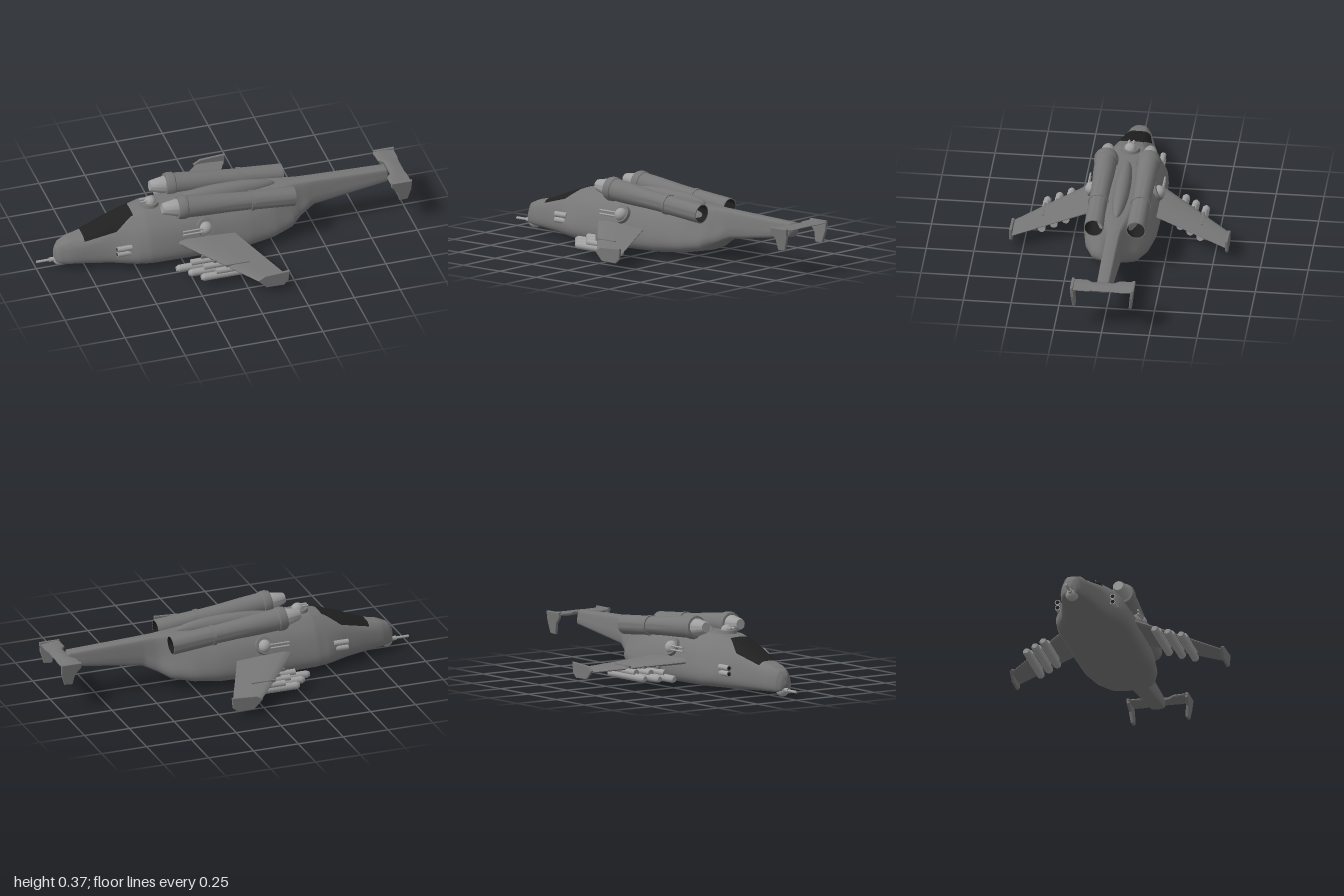
import * as THREE from 'three';
import { mergeVertices, toCreasedNormals } from 'three/addons/utils/BufferGeometryUtils.js';

const paint = (c) => new THREE.MeshStandardMaterial({ color: c });
const hullMat = paint(0x777777), metal = paint(0xa0a0a0), dark = paint(0x202020);

// Stations along the hull: x, max half-width, bottom, height of max width,
// shoulder half-width, shoulder height, roof half-width, roof height
const stations = [
  [-0.91, 0, 0.08, 0.08, 0, 0.08, 0, 0.08],
  [-0.90, 0.03, 0.038, 0.07, 0.025, 0.095, 0.015, 0.118],
  [-0.88, 0.05, 0.031, 0.075, 0.042, 0.115, 0.028, 0.145],
  [-0.83, 0.072, 0.028, 0.08, 0.06, 0.13, 0.038, 0.167],
  [-0.74, 0.092, 0.024, 0.085, 0.077, 0.15, 0.045, 0.184],
  [-0.62, 0.125, 0.018, 0.09, 0.1, 0.175, 0.06, 0.232],
  [-0.5, 0.182, 0.014, 0.1, 0.13, 0.2, 0.065, 0.275],
  [-0.42, 0.195, 0.01, 0.1, 0.15, 0.21, 0.08, 0.29],
  [-0.15, 0.195, 0.004, 0.1, 0.16, 0.21, 0.09, 0.292],
  [0.1, 0.19, 0.012, 0.1, 0.15, 0.2, 0.08, 0.287],
  [0.25, 0.165, 0.028, 0.1, 0.125, 0.19, 0.07, 0.285],
  [0.36, 0.125, 0.05, 0.11, 0.09, 0.18, 0.05, 0.283],
  [0.42, 0.08, 0.085, 0.13, 0.065, 0.18, 0.04, 0.28],
  [0.5, 0.05, 0.125, 0.17, 0.048, 0.2, 0.035, 0.277],
  [0.9, 0.04, 0.185, 0.21, 0.036, 0.235, 0.03, 0.262],
  [0.92, 0, 0.225, 0.225, 0, 0.225, 0, 0.225],
];

// Point on the hull at x; t runs 0 (keel) -> 1 (roof, +z side) -> 2 (keel)
function hullPoint(x, t) {
  let i = 0;
  while (i < stations.length - 2 && x > stations[i + 1][0]) i++;
  const a = stations[i], b = stations[i + 1];
  const f = THREE.MathUtils.clamp((x - a[0]) / (b[0] - a[0]), 0, 1);
  const [, w, yb, yl, ws, ys, wt, yt] = a.map((v, k) => v + (b[k] - v) * f);
  const low = yl - yb;
  const section = new THREE.SplineCurve([
    [0, yb], [w * 0.55, yb + low * 0.09], [w * 0.92, yb + low * 0.32], [w, yl],
    [ws, ys], [wt, yt - (yt - ys) * 0.15], [wt * 0.5, yt - (yt - ys) * 0.02], [0, yt],
  ].map(p => new THREE.Vector2(...p)));
  const p = section.getPoint(t <= 1 ? t : 2 - t);
  return new THREE.Vector3(x, p.y, t <= 1 ? p.x : -p.x);
}

// Skin over rows of points, smooth across shared corners
function skin(rows, crease) {
  const n = rows[0].length, index = [];
  for (let i = 0; i < rows.length - 1; i++) {
    for (let j = 0; j < n - 1; j++) {
      const a = i * n + j, b = a + n;
      index.push(a, b, a + 1, b, b + 1, a + 1);
    }
  }
  let g = new THREE.BufferGeometry().setFromPoints(rows.flat());
  g.setIndex(index);
  g = mergeVertices(g, 1e-5);
  if (crease) return toCreasedNormals(g, crease);
  g.computeVertexNormals();
  return g;
}

function add(parent, name, geometry, material, x = 0, y = 0, z = 0) {
  const m = new THREE.Mesh(geometry, material);
  m.name = name;
  m.position.set(x, y, z);
  parent.add(m);
  return m;
}

// Round bar lying along x
function rod(parent, name, mat, x0, x1, y, z, r0, r1 = r0) {
  const g = new THREE.CylinderGeometry(r1, r0, x1 - x0, 20).rotateZ(-Math.PI / 2);
  return add(parent, name, g, mat, (x0 + x1) / 2, y, z);
}

// Turned part along x from [x, radius] pairs
function turned(points) {
  const g = new THREE.LatheGeometry(points.map(([x, r]) => new THREE.Vector2(r, x)), 32);
  return toCreasedNormals(g.rotateZ(-Math.PI / 2), 0.5);
}

// Flat plate drawn in the x-y plane
function plate(points, depth) {
  const shape = new THREE.Shape(points.map(p => new THREE.Vector2(...p)));
  return new THREE.ExtrudeGeometry(shape, { depth, bevelEnabled: true, bevelSize: 0.003, bevelThickness: 0.003, bevelSegments: 2 })
    .translate(0, 0, -depth / 2);
}

// Aerofoil outline, leading edge over the top and back underneath
function foil(x0, x1, thick, y, z) {
  const outline = [[0, 0], [0.03, 0.6], [0.15, 1], [0.5, 0.85], [1, 0.15], [1, -0.15], [0.5, -0.85], [0.15, -1], [0.03, -0.6], [0, 0]];
  return outline.map(([u, v]) => new THREE.Vector3(x0 + (x1 - x0) * u, y + v * thick / 2, z));
}

function buildEngine() {
  const engine = new THREE.Group();
  engine.name = 'engine';
  add(engine, 'engineCasing', turned([
    [-0.27, 0.044], [-0.268, 0.058], [-0.25, 0.064], [-0.225, 0.063], [-0.22, 0.058],
    [-0.12, 0.056], [0.02, 0.05], [0.13, 0.048], [0.13, 0.054], [0.148, 0.054], [0.148, 0.05],
    [0.37, 0.051], [0.37, 0.046],
  ]), hullMat);
  add(engine, 'exhaustDuct', turned([[0.37, 0.046], [0.16, 0.042], [0.16, 0]]), dark);
  add(engine, 'intakeCone', turned([[-0.35, 0], [-0.35, 0.026], [-0.34, 0.031], [-0.275, 0.046], [-0.25, 0.046]]), metal);
  engine.position.set(0, 0.289, 0.111);
  engine.rotation.z = -0.09;
  return engine;
}

function buildSide() {
  const side = new THREE.Group();
  side.add(buildEngine());

  // Wing and its tip plate
  add(side, 'wing', skin([
    foil(-0.31, 0.02, 0.034, 0.143, 0.15),
    foil(-0.27, 0.035, 0.032, 0.135, 0.2),
    foil(0.04, 0.2, 0.016, 0.077, 0.565),
  ], 0.7), hullMat);
  add(side, 'wingTipPlate', plate([[0.035, 0.085], [0.07, 0.105], [0.2, 0.113], [0.195, 0.06], [0.17, 0.038], [0.08, 0.04]], 0.008), hullMat, 0, 0, 0.565);

  // Missiles under the wing
  [[-0.33, 0.3], [-0.28, 0.357], [-0.23, 0.415]].forEach(([x, z]) => {
    rod(side, 'missile', metal, x + 0.015, x + 0.31, 0.061, z, 0.02);
    rod(side, 'missileNose', metal, x, x + 0.015, 0.061, z, 0.013, 0.02);
    rod(side, 'launchRail', metal, x + 0.08, x + 0.29, 0.085, z, 0.017);
    add(side, 'pylon', new THREE.BoxGeometry(0.13, 0.03, 0.012), hullMat, x + 0.2, 0.1, z);
  });

  // Twin tubes on the cheek
  for (const y of [0.108, 0.138]) {
    rod(side, 'cheekTube', metal, -0.605, -0.525, y, 0.148, 0.015);
    rod(side, 'cheekTubeBore', dark, -0.606, -0.6, y, 0.148, 0.01);
  }

  // Ball turret on the flank
  const mount = add(side, 'flankTurretRing', new THREE.CylinderGeometry(0.046, 0.05, 0.03, 28), hullMat, -0.13, 0.198, 0.165);
  mount.rotation.x = 1.1;
  add(side, 'flankTurret', new THREE.SphereGeometry(0.035, 24, 16), metal, -0.13, 0.198, 0.175);
  for (const y of [0.19, 0.21]) rod(side, 'flankGun', metal, -0.26, -0.13, y, 0.195, 0.005);

  // Tailplane half with drooping end plate
  add(side, 'tailplane', skin([
    foil(0.91, 0.99, 0.024, 0.248, 0),
    foil(0.91, 0.99, 0.022, 0.248, 0.055),
    foil(0.885, 0.995, 0.02, 0.248, 0.085),
    foil(0.885, 0.995, 0.018, 0.25, 0.16),
  ], 0.7), hullMat);
  const fin = add(side, 'tailEndPlate', plate([[0.89, 0.258], [0.995, 0.258], [0.993, 0.21], [0.975, 0.148], [0.935, 0.145], [0.922, 0.2], [0.89, 0.235]].map(([x, y]) => [x, y - 0.25]), 0.01), hullMat, 0, 0.25, 0.158);
  fin.rotation.x = 0.1;
  return side;
}

export function createModel() {
  const model = new THREE.Group();
  model.name = 'gunship';

  // Hull and tail boom
  const rows = [];
  for (let i = 0; i < stations.length - 1; i++) {
    const a = stations[i][0], b = stations[i + 1][0];
    for (let k = 0; k < 4; k++) rows.push(a + (b - a) * k / 4);
  }
  rows.push(0.92);
  add(model, 'hull', skin(rows.map(x => Array.from({ length: 57 }, (_, j) => hullPoint(x, j / 28)))), hullMat);

  // Wrap-around canopy glass, lying just above the hull skin
  const glass = [];
  for (let i = 0; i <= 24; i++) {
    const x = -0.755 + 0.265 * i / 24;
    const t0 = 0.63 + 0.12 * Math.max(0, (i - 15) / 9);
    glass.push(Array.from({ length: 25 }, (_, j) => {
      const p = hullPoint(x, t0 + (2 - 2 * t0) * j / 24);
      return p.add(new THREE.Vector3(-0.001, 0.003, Math.sign(p.z) * 0.0015));
    }));
  }
  add(model, 'canopy', skin(glass), dark).material.side = THREE.DoubleSide;

  // Raised spine between the engines
  const spine = add(model, 'spine', new THREE.SphereGeometry(1, 40, 20), hullMat, 0.015, 0.282, 0);
  spine.scale.set(0.285, 0.05, 0.043);

  // Nose gun
  add(model, 'noseTurret', new THREE.SphereGeometry(0.034, 24, 16), metal, -0.875, 0.043, 0);
  rod(model, 'noseGunSleeve', metal, -0.93, -0.88, 0.046, 0, 0.012);
  rod(model, 'noseGun', metal, -1, -0.9, 0.046, 0, 0.007);

  // Roof turret
  add(model, 'roofTurretRing', new THREE.CylinderGeometry(0.046, 0.052, 0.02, 32), hullMat, -0.385, 0.294, 0);
  add(model, 'roofTurret', new THREE.SphereGeometry(0.032, 24, 16), metal, -0.38, 0.3, 0);
  for (const z of [-0.012, 0.012]) rod(model, 'roofGun', metal, -0.435, -0.37, 0.315, z, 0.006);

  // Matching sides
  const left = buildSide(), right = buildSide();
  left.name = 'nearSide';
  right.name = 'farSide';
  right.scale.z = -1;
  model.add(left, right);
  return model;
}
